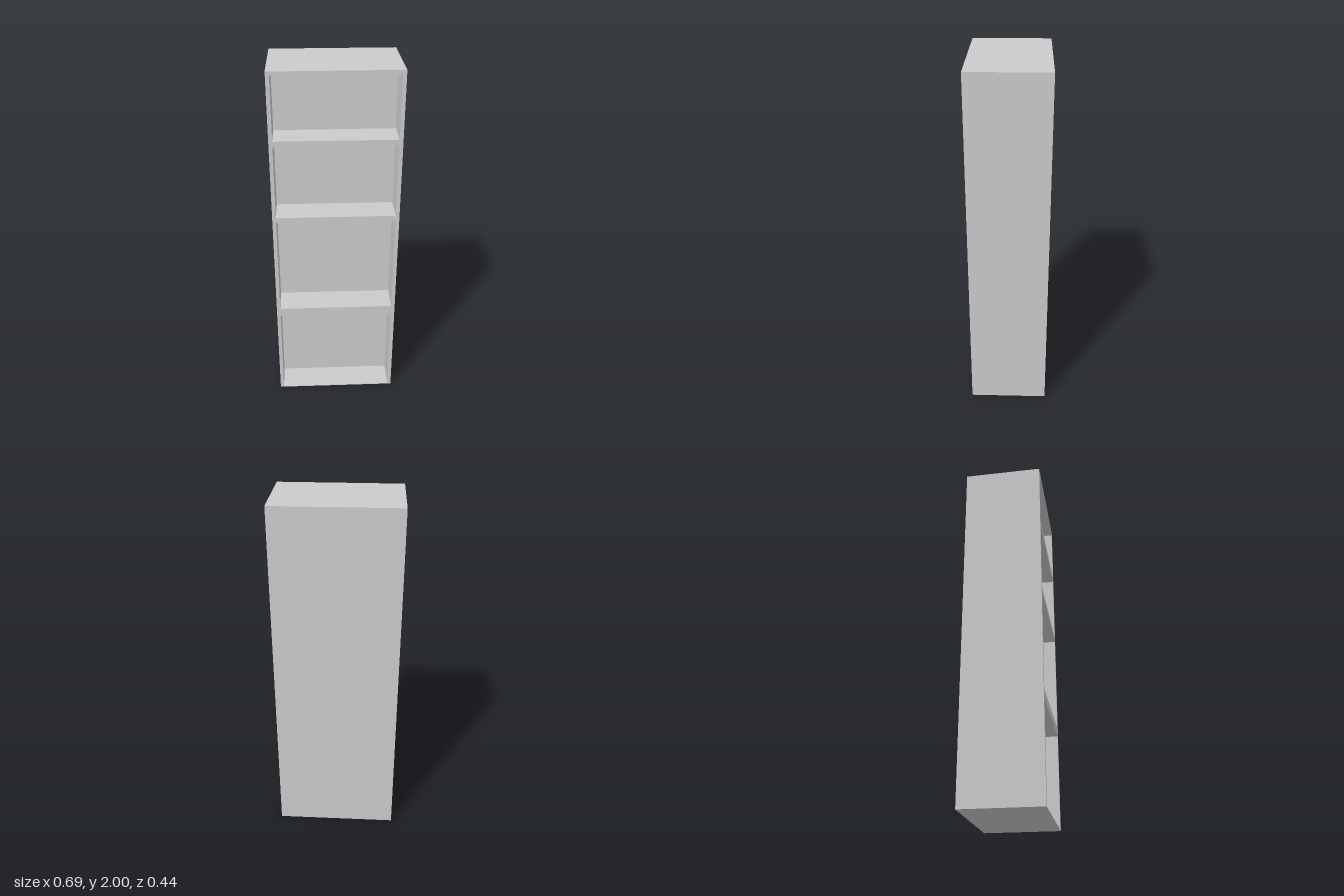
import * as THREE from 'three';

const W = 0.69, H = 2, D = 0.44;
const RECESS = 0.165; // depth of the open compartments
const INNER = 0.325; // half width of the compartments
// bottom and top height of each compartment
const COMPARTMENTS = [[0.004, 0.547], [0.6, 1.17], [1.2, 1.61], [1.64, 1.98]];

function rectangle(target, x0, y0, x1, y1) {
  target.moveTo(x0, y0);
  target.lineTo(x1, y0);
  target.lineTo(x1, y1);
  target.lineTo(x0, y1);
  target.closePath();
  return target;
}

export function createModel() {
  const group = new THREE.Group();
  group.name = 'bookcase';
  const material = new THREE.MeshStandardMaterial({ color: 0xcccccc });

  // Sides, top, floor and shelves as one seamless frame
  const outline = rectangle(new THREE.Shape(), -W / 2, 0, W / 2, H);
  for (const [y0, y1] of COMPARTMENTS) {
    outline.holes.push(rectangle(new THREE.Path(), -INNER, y0, INNER, y1));
  }
  const frame = new THREE.Mesh(
    new THREE.ExtrudeGeometry(outline, { depth: RECESS, bevelEnabled: false }), material);
  frame.name = 'shelfFrame';
  frame.position.z = D / 2 - RECESS;
  group.add(frame);

  // Thick back closing the compartments
  const backDepth = D - RECESS;
  const back = new THREE.Mesh(new THREE.BoxGeometry(W, H, backDepth), material);
  back.name = 'backBody';
  back.position.set(0, H / 2, -D / 2 + backDepth / 2);
  group.add(back);

  return group;
}
